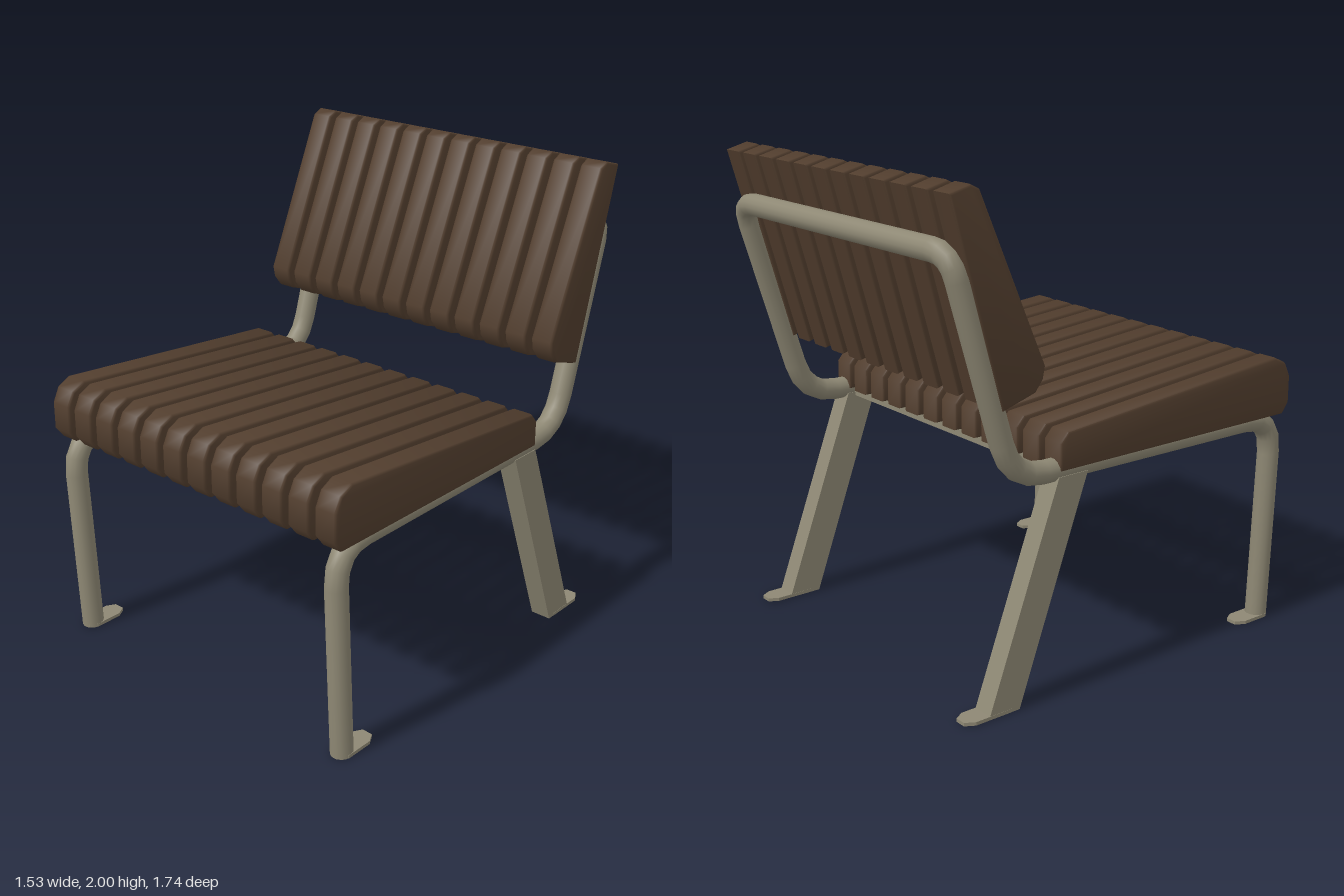
import * as THREE from 'three';
import { toCreasedNormals } from 'three/addons/utils/BufferGeometryUtils.js';

// Tube path that places one ring exactly at each given point
class PolyPath extends THREE.Curve {
  constructor(points) {
    super();
    this.points = points;
  }
  index(u) {
    return Math.round(u * (this.points.length - 1));
  }
  getPoint(u, target = new THREE.Vector3()) {
    return target.copy(this.points[this.index(u)]);
  }
  getPointAt(u, target) {
    return this.getPoint(u, target);
  }
  getTangentAt(u, target = new THREE.Vector3()) {
    const p = this.points, i = this.index(u);
    const dir = (k) => p[k + 1].clone().sub(p[k]).normalize();
    target.set(0, 0, 0);
    if (i > 0) target.add(dir(i - 1));
    if (i < p.length - 1) target.add(dir(i));
    return target.normalize();
  }
}

// Replaces each inner corner with a short bend
function roundedPath(corners, bends, steps = 4) {
  const out = [corners[0]];
  for (let i = 1; i < corners.length - 1; i++) {
    const c = corners[i];
    const towards = (q) => c.clone().add(q.clone().sub(c).setLength(bends[i - 1]));
    const arc = new THREE.QuadraticBezierCurve3(towards(corners[i - 1]), c, towards(corners[i + 1]));
    out.push(...arc.getPoints(steps));
  }
  out.push(corners[corners.length - 1]);
  return new PolyPath(out);
}

// Extrudes a [z, y] side profile across x, centred on x = 0
function sideExtrude(profile, width, bevel = 0) {
  const shape = new THREE.Shape(profile.map(([z, y]) => new THREE.Vector2(z, y)));
  const geo = new THREE.ExtrudeGeometry(shape, {
    depth: width - 2 * bevel, bevelEnabled: bevel > 0, bevelThickness: bevel,
    bevelSize: bevel, bevelOffset: -bevel, bevelSegments: 2,
  });
  geo.translate(0, 0, -(width - 2 * bevel) / 2);
  geo.rotateY(-Math.PI / 2);
  return geo;
}

export function createModel() {
  const model = new THREE.Group();
  model.name = 'slattedChair';
  const wood = new THREE.MeshStandardMaterial({ color: 0x523e2e });
  wood.name = 'dark brown wood';
  const metal = new THREE.MeshStandardMaterial({ color: 0x8e8874 });
  metal.name = 'olive grey metal';

  const add = (name, geo, mat, x = 0, y = 0, z = 0) => {
    const mesh = new THREE.Mesh(geo, mat);
    mesh.name = name;
    mesh.position.set(x, y, z);
    model.add(mesh);
    return mesh;
  };

  // Seat and back slats
  const seatGeo = toCreasedNormals(sideExtrude([
    [0.835, 0.9], [-0.365, 0.9], [-0.365, 1.01], [-0.33, 1.05],
    [0.78, 1.15], [0.84, 1.12], [0.87, 1.06], [0.87, 0.945],
  ], 0.1, 0.01), 0.9);
  const backGeo = toCreasedNormals(sideExtrude([
    [-0.635, 1.18], [-0.86, 1.975], [-0.77, 2.0], [-0.73, 1.98],
    [-0.44, 1.32], [-0.45, 1.27], [-0.485, 1.225],
  ].reverse(), 0.1, 0.01), 0.9);
  for (let i = 0; i < 12; i++) {
    const x = (i - 5.5) * 0.1303;
    add('seatSlat', seatGeo, wood, x);
    add('backSlat', backGeo, wood, x);
  }

  // One bent tube: front leg, seat rail, back upright, top bar and mirrored back down
  const half = [[0, 0.78], [0.89, 0.818], [0.9, -0.562], [1.763, -0.822]]
    .map(([y, z]) => new THREE.Vector3(0.718, y, z));
  const mirrored = half.map((p) => new THREE.Vector3(-p.x, p.y, p.z)).reverse();
  const path = roundedPath([...half, ...mirrored], [0.16, 0.15, 0.1, 0.1, 0.15, 0.16]);
  add('tubeFrame', new THREE.TubeGeometry(path, path.points.length - 1, 0.046, 14), metal);

  // Cross bars under the seat
  const barGeo = new THREE.BoxGeometry(1.38, 0.075, 0.17);
  add('frontCrossBar', barGeo, metal, 0, 0.9025, 0.42);
  add('rearCrossBar', barGeo, metal, 0, 0.9025, -0.25);

  // Foot plate with a tapered tip pointing to -z
  const footGeo = (length) => {
    const w = 0.046;
    const shape = new THREE.Shape([
      [-w, 0.03], [-w * 0.5, 0], [w * 0.5, 0], [w, 0.03],
      [w, length - 0.04], [w * 0.5, length], [-w * 0.5, length], [-w, length - 0.04],
    ].map(([x, z]) => new THREE.Vector2(x, z)));
    const geo = new THREE.ExtrudeGeometry(shape, { depth: 0.014, bevelEnabled: false });
    return geo.rotateX(-Math.PI / 2);
  };
  const frontFoot = footGeo(0.19);
  const rearFoot = footGeo(0.24);
  const legGeo = sideExtrude([[-0.555, 0], [-0.7, 0], [-0.37, 0.88], [-0.23, 0.88]].reverse(), 0.09);

  for (const side of [-1, 1]) {
    const x = side * 0.718;
    add('rearLeg', legGeo, metal, x);
    add('frontFoot', frontFoot, metal, x, 0, 0.82);
    add('rearFoot', rearFoot, metal, x, 0, -0.56);
  }
  return model;
}
